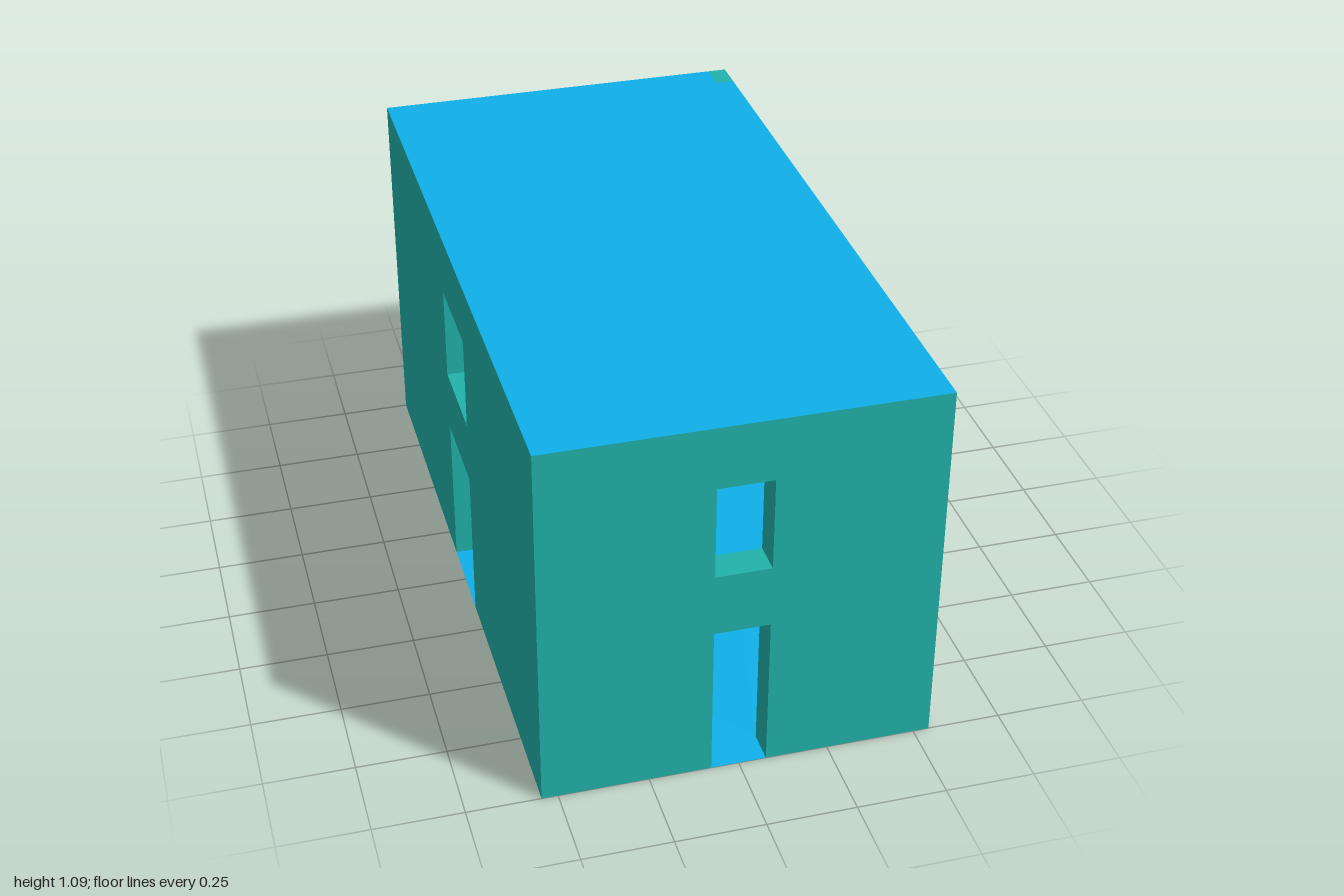
import * as THREE from 'three';

const mat = (color) => new THREE.MeshStandardMaterial({ color, side: THREE.DoubleSide, flatShading: true });

export function createModel() {
  const house = new THREE.Group();
  const teal = mat(0x20b2aa), blue = mat(0x0fb0ea), grey = mat(0xcccccc);

  const HX = 0.545, HZ = 1, H = 1.09;        // outer half sizes and height
  const TX = 0.055, TZ = 0.091;              // wall thickness across x and z
  const IX = HX - TX, IZ = HZ - TZ;
  const DOOR = 0.4545, SILL = 0.636, HEAD = 0.909;
  const FRONT = 0.077, SIDE = 0.141;         // half widths of the openings

  const add = (parent, name, geometry, material) => {
    const mesh = new THREE.Mesh(geometry, material);
    mesh.name = name;
    parent.add(mesh);
    return mesh;
  };
  const polygon = (points) => new THREE.Shape(points.map(([x, y]) => new THREE.Vector2(x, y)));

  // Wall face with a door notch and a window hole
  const wallFace = (half, w) => {
    const shape = polygon([[-half, 0], [-w, 0], [-w, DOOR], [w, DOOR], [w, 0], [half, 0], [half, H], [-half, H]]);
    shape.holes.push(polygon([[-w, SILL], [-w, HEAD], [w, HEAD], [w, SILL]]));
    return new THREE.ShapeGeometry(shape);
  };

  // Hollow wall: outer and inner faces joined by the reveals of its openings
  const wall = (name, angle, half, innerHalf, d, t, w, revealMat = teal) => {
    const g = new THREE.Group();
    g.name = name;
    g.rotation.y = angle;
    add(g, 'outerFace', wallFace(half, w), teal).position.z = d;
    add(g, 'innerFace', wallFace(innerHalf, w).rotateY(Math.PI).translate(0, 0, d - t), teal);
    for (const [y0, y1] of [[0, DOOR], [SILL, HEAD]]) {
      for (const s of [-1, 1]) {
        const jamb = new THREE.PlaneGeometry(t, y1 - y0).rotateY(-s * Math.PI / 2);
        const m = add(g, 'jamb', jamb, y0 === 0 && s === 1 ? revealMat : teal);
        m.position.set(s * w, (y0 + y1) / 2, d - t / 2);
      }
      const head = new THREE.PlaneGeometry(2 * w, t).rotateX(Math.PI / 2);
      add(g, 'lintel', head, teal).position.set(0, y1, d - t / 2);
    }
    const sill = new THREE.PlaneGeometry(2 * w, t).rotateX(-Math.PI / 2);
    add(g, 'windowSill', sill, teal).position.set(0, SILL, d - t / 2);
    house.add(g);
  };
  wall('frontWall', 0, HX, IX, HZ, TZ, FRONT);
  wall('backWall', Math.PI, HX, IX, HZ, TZ, FRONT);
  wall('leftWall', Math.PI / 2, HZ, IZ, HX, TX, SIDE);
  wall('rightWall', -Math.PI / 2, HZ, IZ, HX, TX, SIDE, blue);

  // Horizontal sheet from [x, z] points
  const sheet = (name, points, y, material) => {
    const geo = new THREE.ShapeGeometry(polygon(points.map(([x, z]) => [x, -z]))).rotateX(-Math.PI / 2);
    add(house, name, geo, material).position.y = y;
  };

  // Ground floor running out through the front, back and right doorways
  sheet('groundFloor', [
    [-IX, IZ], [-FRONT, IZ], [-FRONT, HZ], [FRONT, HZ], [FRONT, IZ], [IX, IZ],
    [IX, -IZ], [FRONT, -IZ], [FRONT, -HZ], [-FRONT, -HZ], [-FRONT, -IZ], [-IX, -IZ],
    [-IX, -SIDE], [-HX, -SIDE], [-HX, SIDE], [-IX, SIDE],
  ], 0, blue);
  sheet('leftThreshold', [[IX, SIDE], [HX, SIDE], [HX, -SIDE], [IX, -SIDE]], 0, teal);

  // Upper floor slab and ceiling
  add(house, 'upperFloor', new THREE.BoxGeometry(2 * IX, 0.09, 2 * IZ), blue).position.y = 0.5;
  sheet('ceiling', [[-IX, IZ], [IX, IZ], [IX, -IZ], [-IX, -IZ]], 1.0, blue);

  // Flat roof with one corner left in the wall colour
  sheet('roof', [[-HX, HZ], [HX, HZ], [HX, -IZ], [IX, -IZ], [IX, -HZ], [-HX, -HZ]], H, blue);
  sheet('roofCorner', [[IX, -IZ], [HX, -IZ], [HX, -HZ], [IX, -HZ]], H, teal);

  // Bare strip inside the left wall cavity
  const strip = new THREE.PlaneGeometry(0.18, 0.09).rotateY(Math.PI / 2);
  add(house, 'cavityStrip', strip, grey).position.set(IX + 0.002, 0.045, IZ - 0.09);

  return house;
}
